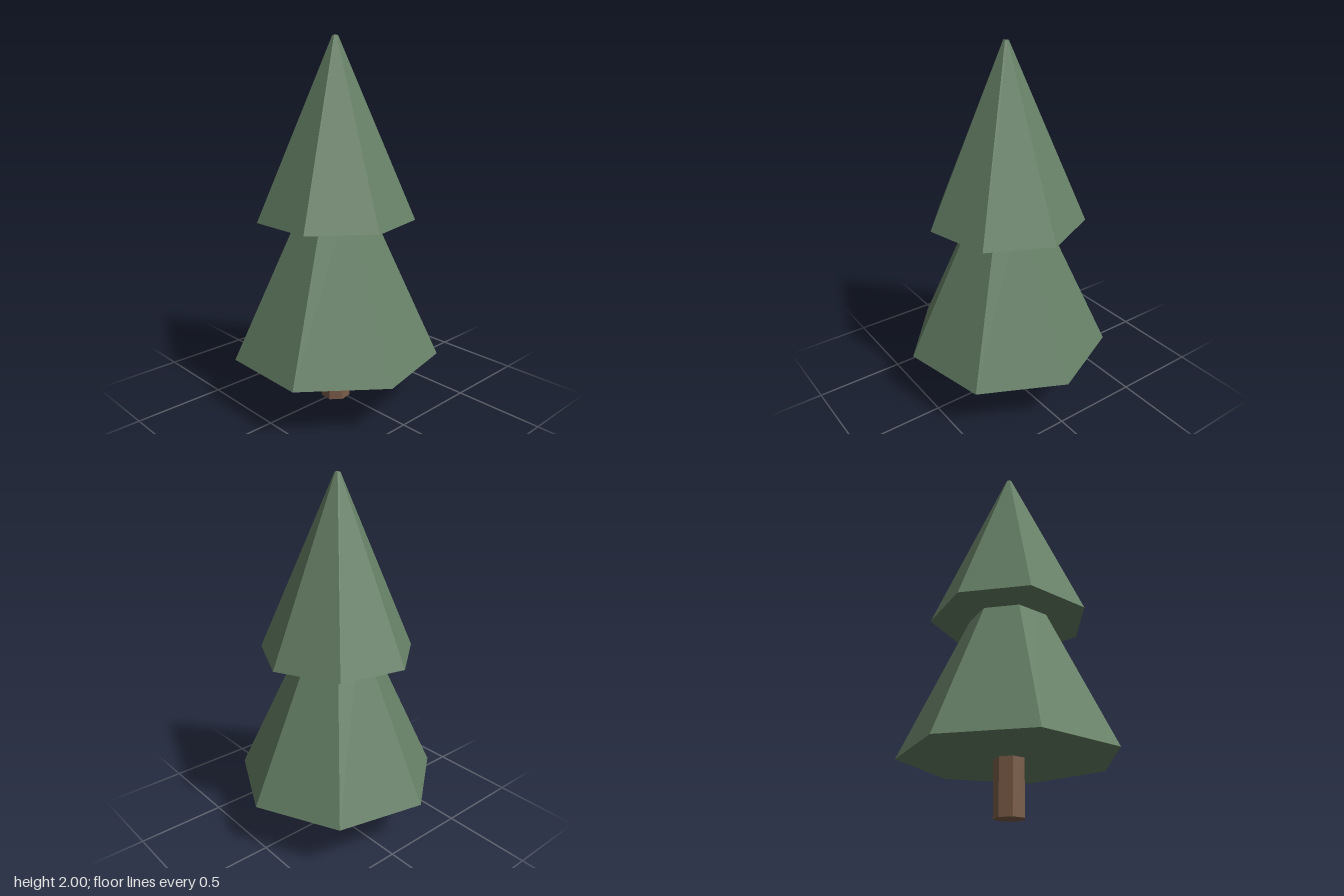
import * as THREE from 'three';

const SIDES = 7;

export function createModel() {
  const tree = new THREE.Group();
  tree.name = 'pineTree';

  const needles = new THREE.MeshStandardMaterial({ color: 0x668066, flatShading: true });
  needles.name = 'needle green';
  const bark = new THREE.MeshStandardMaterial({ color: 0x7a5c48, flatShading: true });
  bark.name = 'bark brown';

  // Tapered seven-sided prism with one corner at the back, turned by a small twist
  function addTier(name, material, bottomRadius, topRadius, y0, y1, twist) {
    const geometry = new THREE.CylinderGeometry(
      topRadius, bottomRadius, y1 - y0, SIDES, 1, false, Math.PI - twist);
    const mesh = new THREE.Mesh(geometry, material);
    mesh.name = name;
    mesh.position.set(0, (y0 + y1) / 2, 0.025);
    tree.add(mesh);
  }

  // Trunk reaches slightly into the foliage
  addTier('trunk', bark, 0.082, 0.082, 0, 0.35, 0.055);
  // Lower tier ends inside the upper one
  addTier('lowerFoliage', needles, 0.571, 0.147, 0.29, 1.2, 0.012);
  // Upper tier with a blunt tip
  addTier('upperFoliage', needles, 0.43, 0.015, 1.05, 2, 0);

  return tree;
}
